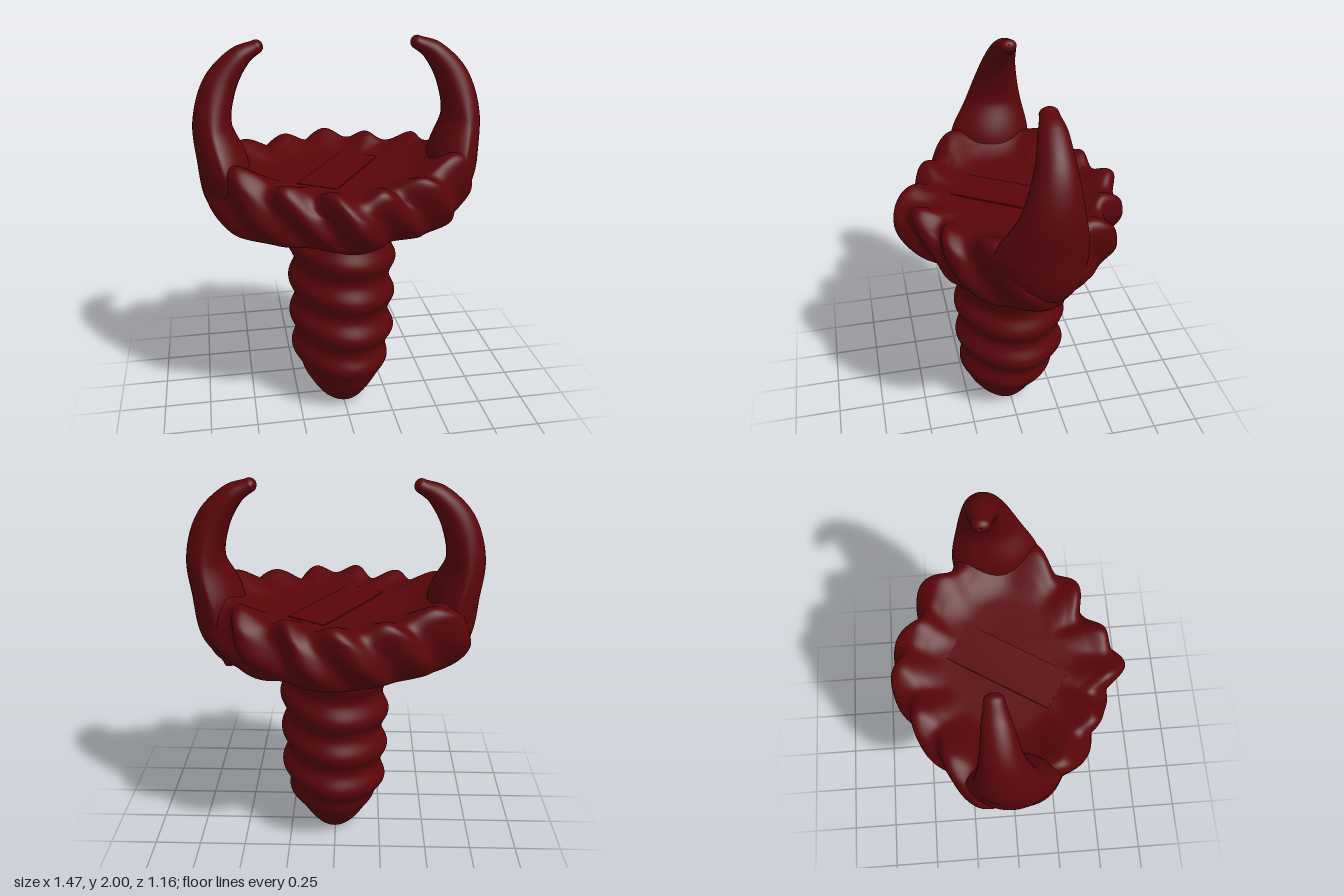
import * as THREE from 'three';
import { ParametricGeometry } from 'three/addons/geometries/ParametricGeometry.js';

const material = new THREE.MeshStandardMaterial({ color: 0x5a0509 });
const spline = (pts) => new THREE.SplineCurve(pts.map(([a, b]) => new THREE.Vector2(a, b)));

function addMesh(parent, name, geometry) {
  const mesh = new THREE.Mesh(geometry, material);
  mesh.name = name;
  parent.add(mesh);
  return mesh;
}

// Grip: tapered column with one helical ridge, slightly squared in section
function gripGeometry() {
  const profile = spline([[0.002, 0.003], [0.08, 0.012], [0.125, 0.045], [0.185, 0.14], [0.24, 0.25],
    [0.264, 0.4], [0.266, 0.6], [0.268, 0.8], [0.266, 1.0], [0.262, 1.16]]);
  return new ParametricGeometry((u, v, out) => {
    const a = u * Math.PI * 2;
    const p = profile.getPoint(v);
    const fade = THREE.MathUtils.smoothstep(p.y, 0.12, 0.34);
    const wave = Math.cos((p.y - 0.7) / 0.212 * Math.PI * 2 + a);
    const r = p.x * (1 + 0.025 * Math.cos(4 * a)) + 0.017 * fade * wave;
    const lean = 0.02 - 0.03 * fade;
    out.set(r * Math.sin(a) + 0.005, p.y, r * Math.cos(a) * 1.06 + lean);
  }, 72, 150);
}

// Guard: shallow dished diamond collar whose rim is twisted like rope
function guardGeometry() {
  // Outline radius every 15 degrees, from the back round by the right, front and left
  const outline = spline([0.575, 0.57, 0.56, 0.585, 0.63, 0.7, 0.69, 0.65, 0.59, 0.55, 0.505, 0.525,
    0.57, 0.52, 0.485, 0.545, 0.585, 0.645, 0.69, 0.67, 0.6, 0.605, 0.525, 0.575, 0.575]
    .map((r, i) => [i, r]));
  // Radius fraction and height, from the underside over the rim to the dish floor
  const profile = spline([[0.002, 1.1], [0.45, 1.1], [0.78, 1.085], [0.89, 1.1], [0.98, 1.19], [1, 1.28],
    [0.97, 1.355], [0.88, 1.388], [0.74, 1.37], [0.58, 1.35], [0.35, 1.342], [0.002, 1.342]]);
  return new ParametricGeometry((u, v, out) => {
    const a = u * Math.PI * 2 - Math.PI;
    const p = profile.getPoint(v);
    const rim = THREE.MathUtils.smoothstep(p.x, 0.5, 0.92);
    const top = THREE.MathUtils.smoothstep(p.y, 1.25, 1.34) * rim;
    const low = (1 - THREE.MathUtils.smoothstep(p.y, 1.1, 1.25)) * rim;
    const twist = Math.cos(13 * a + 20 * (p.y - 1.24));
    const r = p.x * (outline.getPoint(u).y - 0.01) + 0.02 * rim * twist;
    const side = Math.pow(Math.abs(Math.sin(a)), 6);
    const y = p.y + top * (0.022 * twist + 0.08 * side - 0.014 * Math.cos(a))
      + low * (0.008 * twist - 0.02 * side);
    out.set(r * Math.sin(a), y, r * Math.cos(a));
  }, 240, 90);
}

// Horn: sections swept along an inward curve, diamond at the root and oval at the tip
function hornGeometry(side) {
  const path = new THREE.CatmullRomCurve3([
    [0.53, 1.06, -0.12], [0.57, 1.22, -0.05], [0.592, 1.4, -0.025], [0.635, 1.6, -0.055],
    [0.587, 1.79, -0.075], [0.485, 1.92, -0.085], [0.4, 1.967, -0.09],
  ].map(([x, y, z]) => new THREE.Vector3(side * x, y, z)));
  // Half thickness across and half depth along z
  const size = spline([[0.04, 0.04], [0.12, 0.18], [0.128, 0.22], [0.098, 0.15],
    [0.083, 0.095], [0.055, 0.066], [0.034, 0.044]]);
  return new ParametricGeometry((u, v, out) => {
    const a = u * Math.PI * 2;
    const t = Math.min(v / 0.9, 1);
    // The last stretch rounds off the tip
    const cap = Math.max(v - 0.9, 0) / 0.1 * Math.PI / 2;
    const shrink = Math.max(Math.cos(cap), 0.01);
    const c = path.getPoint(t);
    const d = path.getTangent(t);
    const s = size.getPoint(t);
    const pinch = 0.5 * (1 - THREE.MathUtils.smoothstep(t, 0.35, 0.65));
    const w = s.x * shrink * Math.sin(a) * Math.pow(Math.abs(Math.sin(a)), pinch);
    const lift = 0.032 * Math.sin(cap);
    out.set(c.x + d.y * w + d.x * lift, c.y - d.x * w + d.y * lift,
      c.z + s.y * shrink * Math.cos(a));
  }, 40, 80);
}

export function createModel() {
  const model = new THREE.Group();
  model.name = 'hornedHilt';
  addMesh(model, 'grip', gripGeometry());
  addMesh(model, 'guard', guardGeometry());
  addMesh(model, 'leftHorn', hornGeometry(1));
  addMesh(model, 'rightHorn', hornGeometry(-1));

  // Slanted blade seat set in the dish
  const seat = addMesh(model, 'bladeSeat', new THREE.BoxGeometry(0.21, 0.04, 0.555));
  seat.position.set(-0.01, 1.33, -0.01);
  seat.rotation.y = -0.56;
  return model;
}
